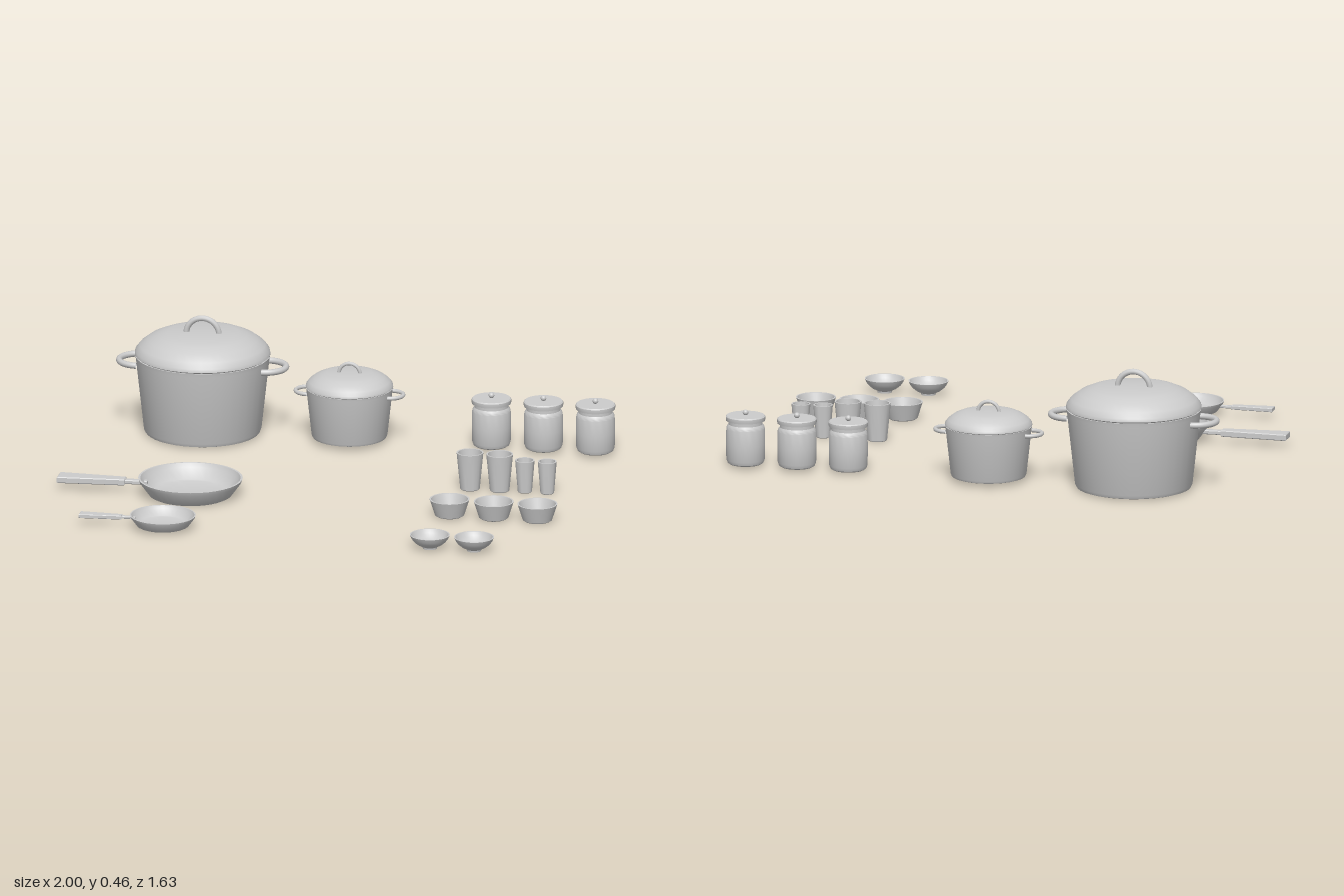
import * as THREE from 'three';
import { toCreasedNormals } from 'three/addons/utils/BufferGeometryUtils.js';

const grey = new THREE.MeshStandardMaterial({ color: 0xcccccc, side: THREE.DoubleSide });

function addMesh(parent, name, geometry) {
  const mesh = new THREE.Mesh(geometry, grey);
  mesh.name = name;
  parent.add(mesh);
  return mesh;
}

// Turned part from [radius, height] pairs; edges sharper than 35 degrees stay crisp
function turned(profile, segments = 32) {
  const points = profile.map(([r, y]) => new THREE.Vector2(r, y));
  return toCreasedNormals(new THREE.LatheGeometry(points, segments), 0.6);
}

function place(group, name, x, y, z, scale = 1) {
  group.name = name;
  group.position.set(x, y, z);
  group.scale.setScalar(scale);
  return group;
}

// Bar along x with a different width (z) at each end
function taperedBar(x0, x1, width0, width1, y0, y1) {
  const shape = new THREE.Shape([
    new THREE.Vector2(x0, -width0 / 2), new THREE.Vector2(x1, -width1 / 2),
    new THREE.Vector2(x1, width1 / 2), new THREE.Vector2(x0, width0 / 2),
  ]);
  const b = 0.003;
  return new THREE.ExtrudeGeometry(shape, {
    depth: y1 - y0 - 2 * b, bevelThickness: b, bevelSize: b, bevelOffset: -b, bevelSegments: 1,
  }).rotateX(-Math.PI / 2).translate(0, y0 + b, 0);
}

// Stock pot with a domed lid, two side loops and a lid loop
function makePot() {
  const pot = new THREE.Group();
  addMesh(pot, 'potBody', turned([
    [0, 0.005], [0.205, 0.005], [0.217, 0.009], [0.223, 0.022], [0.253, 0.295], [0.256, 0.31],
    [0.245, 0.31], [0.212, 0.022], [0, 0.02],
  ], 40));
  addMesh(pot, 'potLid', turned([
    [0, 0.31], [0.25, 0.31], [0.257, 0.315], [0.255, 0.328], [0.238, 0.349],
    [0.207, 0.372], [0.17, 0.388], [0.136, 0.396], [0, 0.399],
  ], 40));
  const lidHandle = addMesh(pot, 'lidHandle', new THREE.TorusGeometry(0.063, 0.011, 10, 24, Math.PI));
  lidHandle.position.y = 0.39;
  for (const side of [-1, 1]) {
    const loop = new THREE.TorusGeometry(0.079, 0.012, 10, 24, Math.PI)
      .rotateX(-Math.PI / 2).rotateY(-side * Math.PI / 2);
    addMesh(pot, side > 0 ? 'leftHandle' : 'rightHandle', loop).position.set(side * 0.241, 0.275, 0);
  }
  return pot;
}

// Shallow frying pan with a flat handle pointing to -x
function makePan() {
  const pan = new THREE.Group();
  addMesh(pan, 'panBody', turned([
    [0, 0.003], [0.148, 0.003], [0.158, 0.008], [0.193, 0.056], [0.198, 0.07],
    [0.19, 0.07], [0.182, 0.054], [0.15, 0.016], [0.142, 0.013], [0, 0.013],
  ], 36));
  addMesh(pan, 'handleNeck', taperedBar(-0.27, -0.165, 0.026, 0.026, 0.034, 0.05));
  addMesh(pan, 'handleGrip', taperedBar(-0.508, -0.25, 0.07, 0.042, 0.03, 0.054));
  return pan;
}

// Storage jar with a stepped neck and a knobbed lid
function makeJar() {
  const jar = new THREE.Group();
  addMesh(jar, 'jarBody', turned([
    [0, 0.012], [0.06, 0.012], [0.068, 0.017], [0.073, 0.03], [0.074, 0.09], [0.073, 0.15],
    [0.071, 0.158], [0.065, 0.166], [0.065, 0.182], [0, 0.182],
  ]));
  addMesh(jar, 'jarLid', turned([
    [0, 0.18], [0.074, 0.18], [0.075, 0.184], [0.075, 0.196], [0.071, 0.2], [0, 0.2],
  ]));
  addMesh(jar, 'lidKnob', new THREE.SphereGeometry(0.011, 14, 10)).position.y = 0.21;
  return jar;
}

// Tapered drinking cup
function makeCup(radius, height) {
  const cup = new THREE.Group();
  const base = radius * 0.73, wall = 0.006;
  addMesh(cup, 'cupBody', turned([
    [0, 0.002], [base - 0.003, 0.002], [base, 0.005], [radius, height],
    [radius - wall, height], [base - wall, 0.014], [0, 0.014],
  ], 24));
  return cup;
}

// Straight-sided bowl with a flat floor
function makeDeepBowl() {
  const bowl = new THREE.Group();
  addMesh(bowl, 'bowlBody', turned([
    [0, 0.005], [0.05, 0.005], [0.056, 0.009], [0.076, 0.071],
    [0.07, 0.071], [0.052, 0.018], [0.047, 0.015], [0, 0.015],
  ]));
  return bowl;
}

// Rounded bowl on a small foot
function makeRoundBowl() {
  const bowl = new THREE.Group();
  addMesh(bowl, 'bowlBody', turned([
    [0, 0.003], [0.027, 0.003], [0.028, 0.01], [0.046, 0.019], [0.061, 0.031], [0.07, 0.043], [0.076, 0.057],
    [0.071, 0.057], [0.064, 0.043], [0.054, 0.031], [0.039, 0.021], [0.02, 0.015], [0, 0.013],
  ]));
  return bowl;
}

export function createModel() {
  const model = new THREE.Group();
  model.name = 'kitchenwareSet';
  model.add(
    place(makePot(), 'largePot', -0.59, 0, -0.56),
    place(makePot(), 'smallPot', -0.025, 0.013, -0.56, 0.645),
    place(makePan(), 'largePan', -0.492, 0, 0.23),
    place(makePan(), 'smallPan', -0.519, 0.011, 0.663, 0.63),
  );
  for (const x of [0.521, 0.721, 0.921]) model.add(place(makeJar(), 'jar', x, 0, -0.56));
  for (const [x, radius, height] of [
    [0.535, 0.051, 0.147], [0.649, 0.051, 0.147], [0.746, 0.037, 0.128], [0.832, 0.036, 0.128],
  ]) model.add(place(makeCup(radius, height), 'cup', x, 0, -0.034));
  for (const x of [0.521, 0.691, 0.859]) model.add(place(makeDeepBowl(), 'deepBowl', x, 0, 0.32));
  for (const x of [0.521, 0.691]) model.add(place(makeRoundBowl(), 'roundBowl', x, 0, 0.733));
  return model;
}
